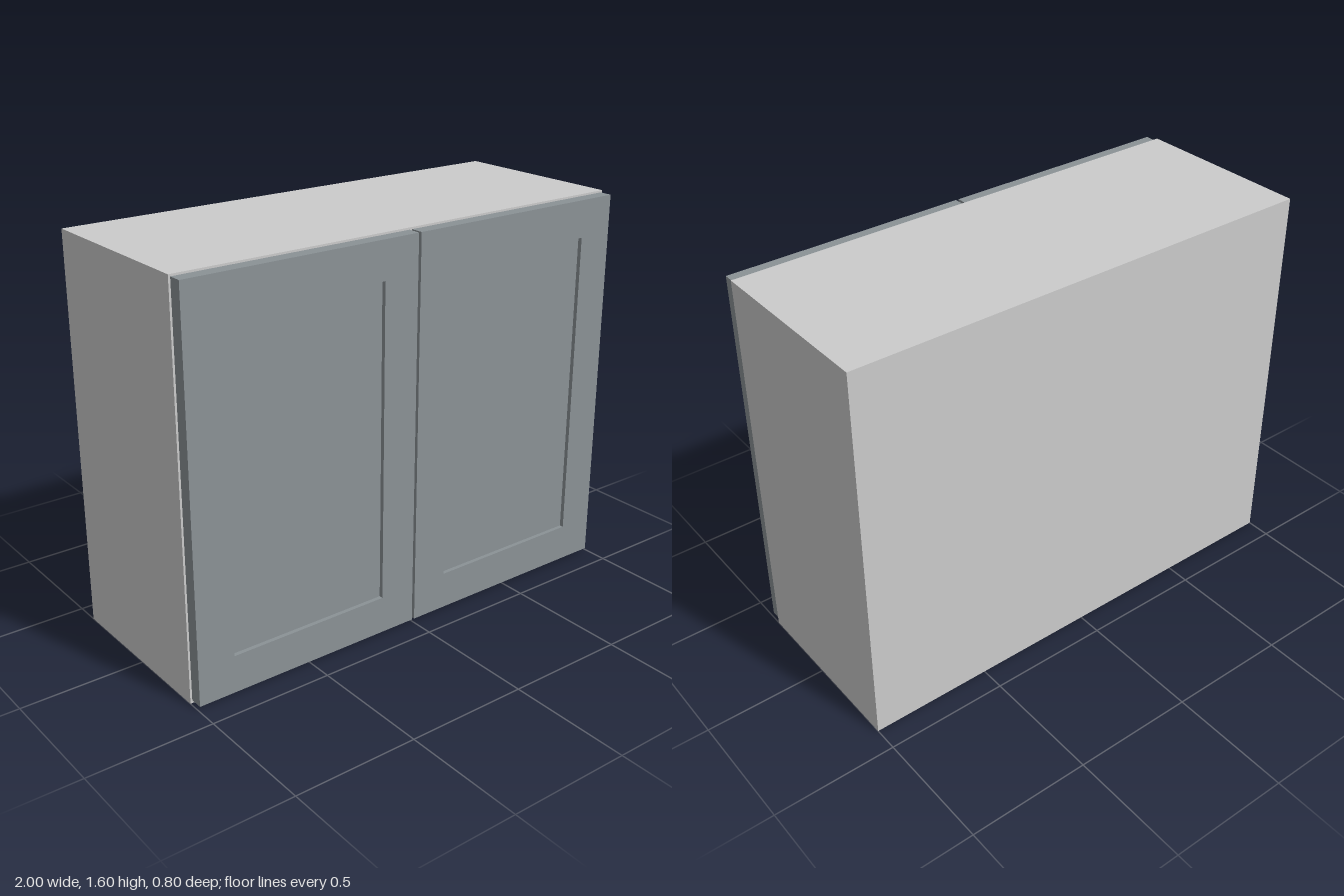
import * as THREE from 'three';

const bodyMaterial = new THREE.MeshStandardMaterial({ color: 0xcccccc });
const doorMaterial = new THREE.MeshStandardMaterial({ color: 0x8b9296 });

// Box given by its lower and upper corners
function board(name, [x0, y0, z0], [x1, y1, z1], material) {
  const geometry = new THREE.BoxGeometry(x1 - x0, y1 - y0, z1 - z0);
  const mesh = new THREE.Mesh(geometry, material);
  mesh.position.set((x0 + x1) / 2, (y0 + y1) / 2, (z0 + z1) / 2);
  mesh.name = name;
  return mesh;
}

function rectangle(target, x0, y0, x1, y1) {
  target.moveTo(x0, y0);
  target.lineTo(x1, y0);
  target.lineTo(x1, y1);
  target.lineTo(x0, y1);
  target.closePath();
  return target;
}

const H = 1.6, T = 0.045, BACK = -0.4, FRONT = 0.347, DOOR_FRONT = 0.4;

// Shaker door: one-piece frame around a recessed panel
function createDoor(name, x0, x1) {
  const door = new THREE.Group();
  door.name = name;
  const y0 = 0.012, y1 = 1.592, rail = 0.152;
  const shape = rectangle(new THREE.Shape(), x0, y0, x1, y1);
  shape.holes.push(rectangle(new THREE.Path(), x0 + rail, y0 + rail, x1 - rail, y1 - rail));
  const frame = new THREE.Mesh(
    new THREE.ExtrudeGeometry(shape, { depth: DOOR_FRONT - FRONT, bevelEnabled: false }),
    doorMaterial
  );
  frame.position.z = FRONT;
  frame.name = 'doorFrame';
  const panel = board('doorPanel', [x0 + rail, y0 + rail, FRONT + 0.012],
    [x1 - rail, y1 - rail, DOOR_FRONT - 0.017], doorMaterial);
  door.add(frame, panel);
  return door;
}

export function createModel() {
  const cabinet = new THREE.Group();
  cabinet.name = 'wallCabinet';
  const inner = 1 - T;

  // Carcass
  cabinet.add(
    board('leftSide', [inner, 0, BACK], [1, H, FRONT], bodyMaterial),
    board('rightSide', [-1, 0, BACK], [-inner, H, FRONT], bodyMaterial),
    board('topPanel', [-inner, H - T, BACK], [inner, H, FRONT], bodyMaterial),
    board('bottomPanel', [-inner, 0, BACK], [inner, T, FRONT], bodyMaterial),
    board('backPanel', [-inner, T, BACK], [inner, H - T, BACK + 0.03], bodyMaterial),
    board('shelf', [-inner, 0.78, BACK + 0.03], [inner, 0.825, FRONT - 0.03], bodyMaterial)
  );

  // Pair of doors with a narrow gap between them
  cabinet.add(createDoor('leftDoor', 0.006, 0.992), createDoor('rightDoor', -0.992, -0.006));
  return cabinet;
}
